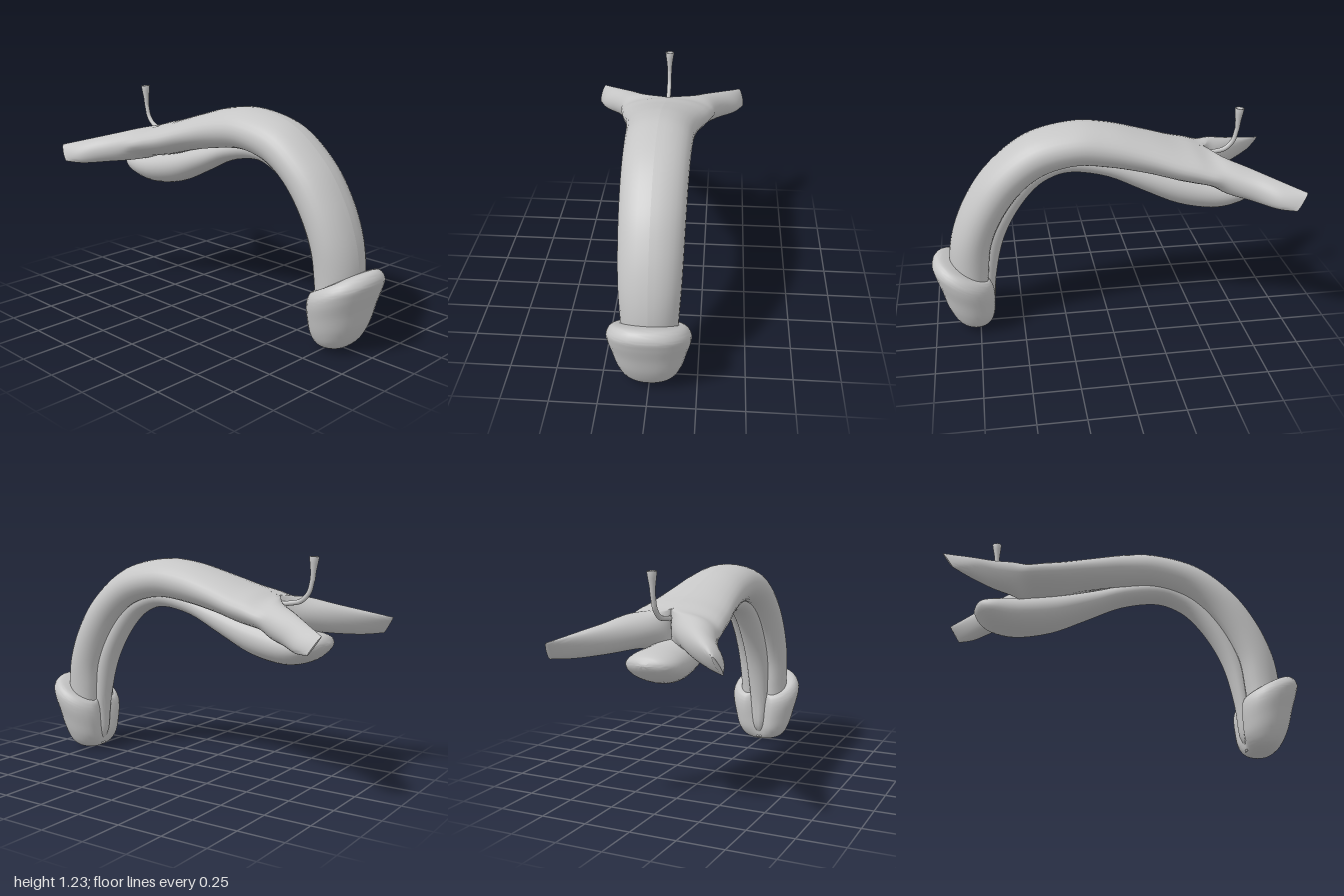
import * as THREE from 'three';
import { toCreasedNormals } from 'three/addons/utils/BufferGeometryUtils.js';

// Smooth interpolation of every column of a station table
function sample(rows, u) {
  const n = rows.length - 1;
  const i = Math.min(Math.floor(u * n), n - 1);
  const t = u * n - i;
  const at = (k) => rows[Math.max(0, Math.min(n, k))];
  return rows[0].map((_, c) => {
    const [p0, p1, p2, p3] = [at(i - 1)[c], at(i)[c], at(i + 1)[c], at(i + 2)[c]];
    const v0 = (p2 - p0) / 2, v1 = (p3 - p1) / 2;
    return (2 * p1 - 2 * p2 + v0 + v1) * t ** 3 + (3 * p2 - 3 * p1 - 2 * v0 - v1) * t * t + v0 * t + p1;
  });
}

// Loft through stations: [topZ, topY, bottomZ, bottomY, centreX, innerWidth, outerWidth, groove, lean]
function loft(rows, { steps = 56, sides = 32, power = 1, mirror = false, crease = 1.1 } = {}) {
  const pos = [], idx = [];
  const sx = mirror ? -1 : 1;
  const tri = (a, b, c) => (mirror ? idx.push(a, c, b) : idx.push(a, b, c));
  for (let i = 0; i <= steps; i++) {
    const [tz, ty, bz, by, xc, wi, wo, groove, lean] = sample(rows, i / steps);
    for (let j = 0; j < sides; j++) {
      const a = (j / sides) * Math.PI * 2;
      const s = Math.sin(a), c = Math.cos(a);
      const w = Math.abs(s) < 1e-6 ? 0 : Math.sign(s) * Math.abs(s) ** power;
      const x = xc + w * (s > 0 ? wo : wi) - lean * c;
      // groove runs along the underside
      const k = c / 2 + 0.5;
      const lift = groove * Math.max(0, -c) * Math.exp(-((x / 0.06) ** 2));
      const len = Math.hypot(tz - bz, ty - by) || 1;
      pos.push(sx * x, by + (ty - by) * (k + lift / len), bz + (tz - bz) * (k + lift / len));
    }
  }
  for (let i = 0; i < steps; i++) {
    for (let j = 0; j < sides; j++) {
      const a = i * sides + j, b = i * sides + ((j + 1) % sides);
      tri(a, b, a + sides);
      tri(b, b + sides, a + sides);
    }
  }
  // end caps
  for (const ring of [0, steps]) {
    const r = sample(rows, ring / steps);
    const centre = pos.length / 3;
    pos.push(sx * (r[4] + (r[6] - r[5]) / 2), (r[1] + r[3]) / 2, (r[0] + r[2]) / 2);
    for (let j = 0; j < sides; j++) {
      const a = ring * sides + j, b = ring * sides + ((j + 1) % sides);
      if (ring) tri(centre, a, b);
      else tri(centre, b, a);
    }
  }
  const g = new THREE.BufferGeometry();
  g.setAttribute('position', new THREE.Float32BufferAttribute(pos, 3));
  g.setIndex(idx);
  return toCreasedNormals(g, crease);
}

// Symmetric station with one half-width
const sym = ([tz, ty, bz, by, w, groove = 0]) => [tz, ty, bz, by, 0, w, w, groove, 0];

export function createModel() {
  const group = new THREE.Group();
  const tissue = new THREE.MeshStandardMaterial({ color: 0xc6c6c6 });
  tissue.name = 'light grey';
  const openTissue = tissue.clone();
  openTissue.side = THREE.DoubleSide;
  const add = (name, geometry, material = tissue) => {
    const m = new THREE.Mesh(geometry, material);
    m.name = name;
    group.add(m);
    return m;
  };

  // Paired upper columns, joined along the midline and splitting into two rear branches
  const column = [
    [0.88, 0.25, 0.67, 0.23, 0, 0, 0.145, 0.06, 0],
    [0.9, 0.42, 0.655, 0.37, 0, 0, 0.15, 0.075, 0],
    [0.87, 0.6, 0.635, 0.53, 0, 0, 0.16, 0.075, 0],
    [0.79, 0.79, 0.565, 0.69, 0, 0, 0.166, 0.075, 0],
    [0.66, 0.97, 0.46, 0.83, 0, 0, 0.17, 0.075, 0],
    [0.45, 1.13, 0.34, 0.915, 0, 0, 0.174, 0.075, 0],
    [0.2, 1.19, 0.18, 0.955, 0, 0, 0.18, 0.075, 0],
    [0, 1.175, 0, 0.94, 0, 0, 0.19, 0.07, 0],
    [-0.2, 1.12, -0.2, 0.905, 0, 0, 0.217, 0.05, 0],
    [-0.36, 1.07, -0.36, 0.865, 0, 0, 0.25, 0.03, 0],
    [-0.46, 1.045, -0.46, 0.845, 0, 0, 0.268, 0.02, 0],
    [-0.54, 1.02, -0.54, 0.83, 0, 0, 0.283, 0.01, 0],
    [-0.62, 1.0, -0.62, 0.815, 0.17, 0.11, 0.125, 0, 0.01],
    [-0.74, 0.965, -0.74, 0.8, 0.26, 0.085, 0.09, 0, 0.02],
    [-0.86, 0.93, -0.85, 0.79, 0.36, 0.058, 0.063, 0, 0.03],
    [-1.0, 0.89, -0.94, 0.797, 0.448, 0.012, 0.012, 0, 0.012],
  ];
  add('leftColumn', loft(column, { steps: 90 }));
  add('rightColumn', loft(column, { steps: 90, mirror: true }));

  // Lower column, swelling into a bulb at the rear
  add('lowerColumnAndBulb', loft([
    [0.75, 0.04, 0.71, 0.04, 0.015],
    [0.74, 0.13, 0.662, 0.11, 0.04],
    [0.73, 0.3, 0.645, 0.29, 0.054],
    [0.71, 0.54, 0.6, 0.5, 0.068],
    [0.63, 0.73, 0.53, 0.66, 0.072],
    [0.5, 0.92, 0.43, 0.8, 0.074],
    [0.36, 1.0, 0.33, 0.88, 0.075],
    [0.2, 1.03, 0.2, 0.913, 0.077],
    [0.02, 1.0, 0, 0.875, 0.082],
    [-0.16, 0.95, -0.2, 0.78, 0.095],
    [-0.36, 0.9, -0.4, 0.69, 0.12],
    [-0.58, 0.86, -0.6, 0.655, 0.142],
    [-0.73, 0.845, -0.74, 0.685, 0.145],
    [-0.81, 0.825, -0.81, 0.735, 0.105],
    [-0.84, 0.785, -0.84, 0.778, 0.01],
  ].map(sym)));

  // Rounded front cap with flared, tilted rim and a notch at the back
  add('frontCap', loft([
    [0.79, 0.003, 0.76, 0.003, 0.02],
    [0.835, 0.014, 0.715, 0.011, 0.082],
    [0.885, 0.06, 0.68, 0.032, 0.137, 0.015],
    [0.93, 0.15, 0.65, 0.08, 0.172, 0.04],
    [0.96, 0.26, 0.64, 0.15, 0.196, 0.06],
    [0.988, 0.35, 0.638, 0.22, 0.215, 0.07],
    [0.998, 0.41, 0.645, 0.27, 0.214, 0.07],
    [0.96, 0.45, 0.665, 0.3, 0.185, 0.05],
    [0.88, 0.425, 0.71, 0.31, 0.13, 0.02],
  ].map(sym), { power: 0.88 }));

  // Small opening near the tip
  const opening = add('tipOpening', new THREE.TorusGeometry(0.014, 0.006, 8, 20));
  opening.position.set(0, 0.036, 0.702);
  opening.rotation.x = 0.9;

  // Thin vessel rising from the fork, with a flared open end
  const path = new THREE.CatmullRomCurve3([
    [0.97, -0.5], [0.98, -0.6], [0.995, -0.665], [1.04, -0.71], [1.11, -0.73],
  ].map(([y, z]) => new THREE.Vector3(0, y, z)));
  add('vessel', new THREE.TubeGeometry(path, 32, 0.013, 12));
  const flare = add('vesselEnd', new THREE.LatheGeometry(
    [[0.013, 0], [0.016, 0.05], [0.022, 0.09], [0.026, 0.122], [0.02, 0.122], [0.012, 0.08], [0.001, 0.07]]
      .map(([r, y]) => new THREE.Vector2(r, y)), 20), openTissue);
  flare.position.set(0, 1.105, -0.73);
  flare.rotation.x = -0.06;

  return group;
}
